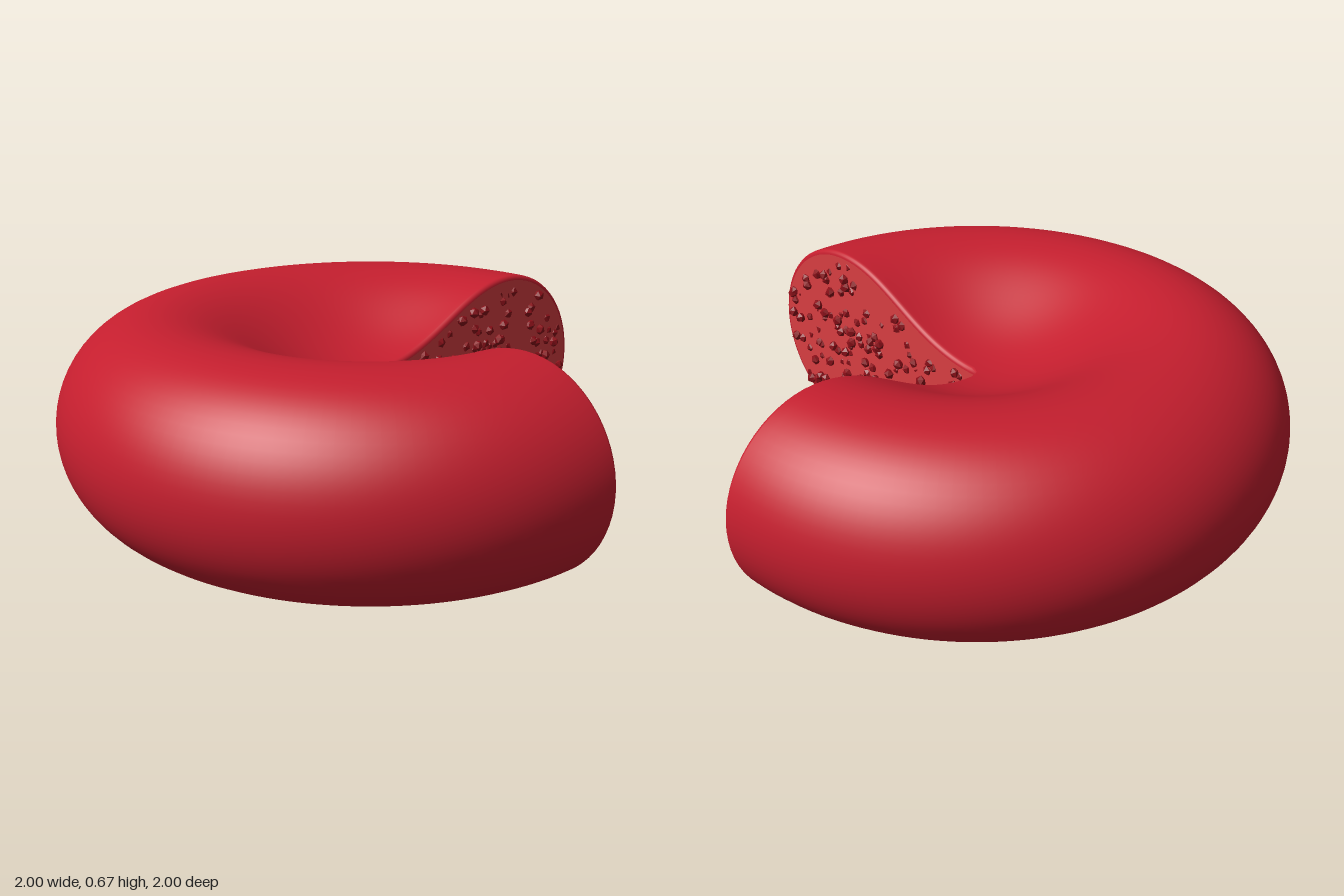
import * as THREE from 'three';
import { mergeGeometries } from 'three/addons/utils/BufferGeometryUtils.js';

const HALF = 0.337;   // half height of the disc
const RIM = 1 - HALF; // radius at the thickest ring
const BEVEL = 0.016;  // rounding along the cut

// Half cross-section [radius, height], top centre -> rim -> bottom centre
function makeProfile() {
  const dish = new THREE.CubicBezierCurve(
    new THREE.Vector2(0, 0.122), new THREE.Vector2(0.3, 0.122),
    new THREE.Vector2(0.42, HALF), new THREE.Vector2(RIM, HALF));
  const top = dish.getPoints(28);
  const rim = [];
  for (let i = 1; i < 32; i++) {
    const a = Math.PI / 2 - Math.PI * i / 32;
    rim.push(new THREE.Vector2(RIM + HALF * Math.cos(a), HALF * Math.sin(a)));
  }
  const bottom = top.map(p => new THREE.Vector2(p.x, -p.y)).reverse();
  return [...top, ...rim, ...bottom];
}

// Move the profile inwards along its normals
function inset(profile, d) {
  return profile.map((p, i) => {
    if (i === 0 || i === profile.length - 1) return new THREE.Vector2(0, p.y - Math.sign(p.y) * d);
    const t = profile[i + 1].clone().sub(profile[i - 1]).normalize();
    return new THREE.Vector2(Math.max(0, p.x + t.y * d), p.y - t.x * d);
  });
}

// Three-quarter turn of the profile with rounded edges at both cut planes
function skinGeometry(profile) {
  const rows = [], bevels = [];
  const STEPS = 108, B = 5;
  for (let k = 0; k < B; k++) {
    const a = (k / B) * Math.PI / 2;
    const depth = BEVEL * (1 - Math.cos(a));
    bevels.push(inset(profile, BEVEL * (1 - Math.sin(a)))
      .map(p => [p.x, p.y, -Math.min(depth, p.x)]));
  }
  rows.push(...bevels);
  for (let i = 0; i <= STEPS; i++) {
    rows.push(profile.map(p => {
      const gap = p.x > 0 ? Math.min(Math.PI / 4, Math.asin(Math.min(1, BEVEL / p.x))) : 0;
      const a = gap + (Math.PI * 1.5 - 2 * gap) * i / STEPS;
      return [p.x * Math.cos(a), p.y, -p.x * Math.sin(a)];
    }));
  }
  for (const row of bevels.reverse()) rows.push(row.map(([x, y, z]) => [z, y, x]));

  const n = profile.length, index = [];
  for (let i = 0; i < rows.length - 1; i++) {
    for (let j = 0; j < n - 1; j++) {
      const a = i * n + j, b = a + n;
      index.push(a, a + 1, b, b, a + 1, b + 1);
    }
  }
  const g = new THREE.BufferGeometry();
  g.setAttribute('position', new THREE.Float32BufferAttribute(rows.flat(2), 3));
  g.setIndex(index);
  g.computeVertexNormals();
  return g;
}

function seeded(seed) {
  return () => (seed = (seed * 16807) % 2147483647) / 2147483647;
}

// Half thickness of the disc at radius r
function halfHeight(profile, r) {
  if (r > RIM) return Math.sqrt(Math.max(0, HALF * HALF - (r - RIM) ** 2));
  const i = profile.findIndex(p => p.x >= r);
  if (i < 1) return profile[0].y;
  const a = profile[i - 1], b = profile[i];
  return a.y + (b.y - a.y) * (r - a.x) / (b.x - a.x);
}

// Small grains half sunk in a cut face lying in the xy plane
function grainGeometry(profile, seed, count) {
  const rnd = seeded(seed), parts = [];
  while (parts.length < count) {
    const x = 0.02 + rnd() * 0.95, y = (rnd() * 2 - 1) * HALF;
    if (Math.abs(y) > halfHeight(profile, x) - 0.04) continue;
    const g = new THREE.IcosahedronGeometry(0.02, 0);
    g.rotateX(rnd() * 6).rotateY(rnd() * 6);
    g.translate(x, y, -0.016 + rnd() * 0.022);
    parts.push(g);
  }
  return mergeGeometries(parts);
}

export function createModel() {
  const model = new THREE.Group();
  model.name = 'cutawayCell';
  const mat = (color, extra) => new THREE.MeshStandardMaterial({ color, ...extra });
  const skinMat = mat(0xc41e2e);
  const faceMat = mat(0xd93e42, { side: THREE.DoubleSide });
  const grainMat = mat(0x8b0f18, { flatShading: true });

  const add = (name, geometry, material) => {
    const mesh = new THREE.Mesh(geometry, material);
    mesh.name = name;
    mesh.position.y = HALF;
    model.add(mesh);
    return mesh;
  };

  const profile = makeProfile();
  add('membrane', skinGeometry(profile), skinMat);

  // The two cut faces: one facing front, one facing the model's left
  const face = new THREE.ShapeGeometry(new THREE.Shape(inset(profile, BEVEL)));
  add('frontCutFace', face, faceMat);
  add('sideCutFace', face, faceMat).rotation.y = -Math.PI / 2;

  // Grains on each face
  add('frontGrains', grainGeometry(profile, 1234, 130), grainMat);
  const side = grainGeometry(profile, 98765, 140);
  side.scale(1, 1, -1).rotateY(-Math.PI / 2);
  // the mirroring reversed the corners, so swap two of each triangle
  const p = side.attributes.position;
  const a = new THREE.Vector3(), b = new THREE.Vector3();
  for (let i = 0; i < p.count; i += 3) {
    a.fromBufferAttribute(p, i);
    b.fromBufferAttribute(p, i + 1);
    p.setXYZ(i, b.x, b.y, b.z);
    p.setXYZ(i + 1, a.x, a.y, a.z);
  }
  side.computeVertexNormals();
  add('sideGrains', side, grainMat);
  return model;
}
